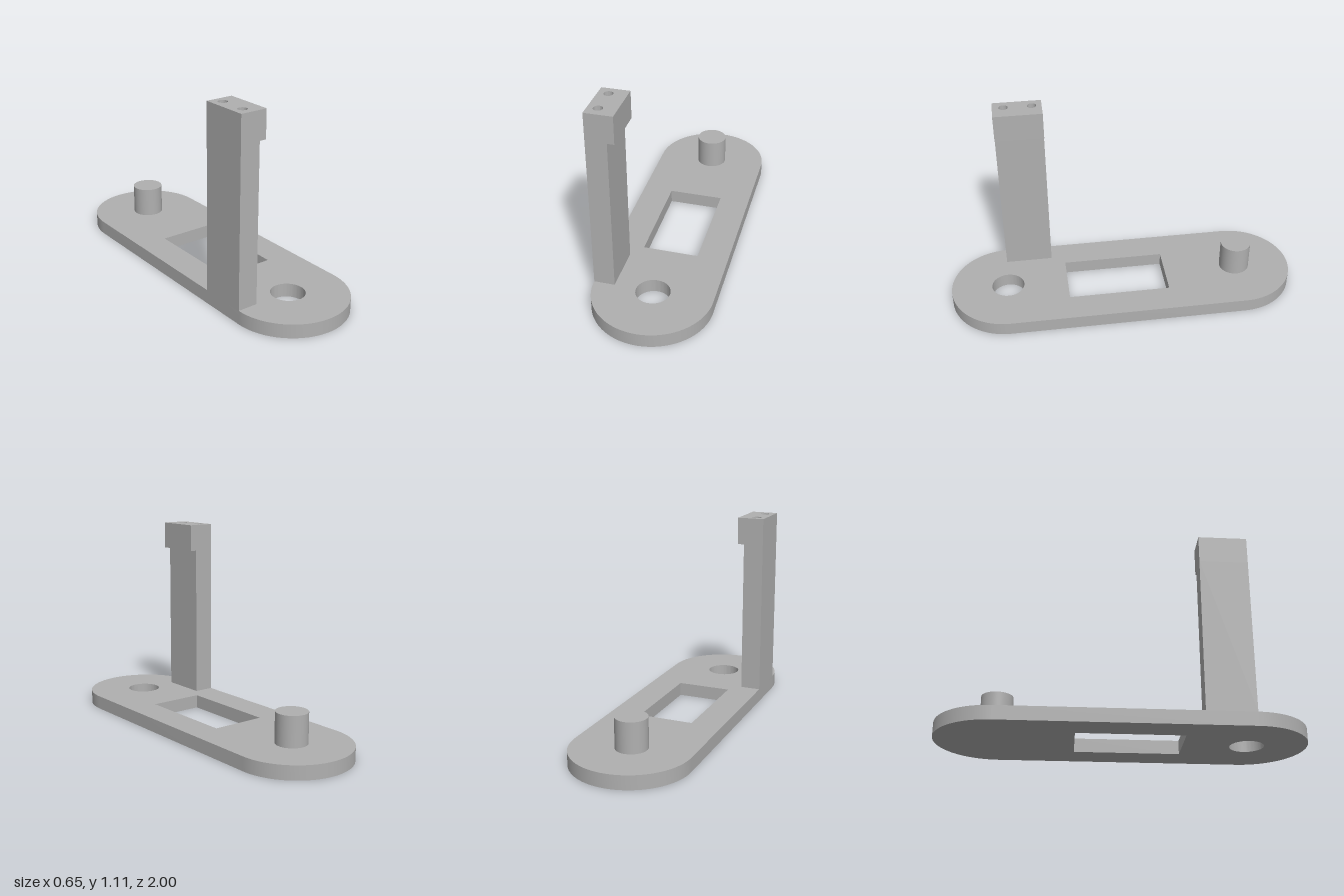
import * as THREE from 'three';
import { toCreasedNormals } from 'three/addons/utils/BufferGeometryUtils.js';

const R = 0.326, END = 0.674;          // plate end radius and centre
const BASE_TOP = 0.077, HEAD_Y = 0.953, TOP = 1.107;
const POST = { x0: -R, x1: -0.212, z0: 0.405, z1: 0.674 };

// Plan outlines are drawn in (x, -z) and extruded upwards
function rect(target, x0, x1, z0, z1) {
  target.moveTo(x0, -z1);
  target.lineTo(x1, -z1);
  target.lineTo(x1, -z0);
  target.lineTo(x0, -z0);
  target.closePath();
  return target;
}

function roundHole(x, z, r) {
  return new THREE.Path().absarc(x, -z, r, 0, Math.PI * 2, true);
}

function extrudeUp(shape, y0, y1) {
  const g = new THREE.ExtrudeGeometry(shape, { depth: y1 - y0, bevelEnabled: false, curveSegments: 40 });
  g.rotateX(-Math.PI / 2);
  g.translate(0, y0, 0);
  return toCreasedNormals(g, Math.PI / 6);
}

export function createModel() {
  const group = new THREE.Group();
  const grey = new THREE.MeshStandardMaterial({ color: 0xb0b0b0 });
  grey.name = 'plain grey';
  const add = (name, geometry) => {
    const mesh = new THREE.Mesh(geometry, grey);
    mesh.name = name;
    group.add(mesh);
    return mesh;
  };

  // Round-ended base plate with a rectangular window and a round socket
  const plate = new THREE.Shape();
  plate.absarc(0, END, R, 0, Math.PI, false);
  plate.absarc(0, -END, R, Math.PI, Math.PI * 2, false);
  plate.closePath();
  plate.holes.push(rect(new THREE.Path(), -0.155, 0.155, -0.253, 0.327), roundHole(0, END, 0.093));
  add('basePlate', extrudeUp(plate, 0, BASE_TOP));

  // Peg at the back end
  const pegHeight = 0.247 - BASE_TOP;
  add('peg', new THREE.CylinderGeometry(0.087, 0.087, pegHeight, 64))
    .position.set(0, BASE_TOP + pegHeight / 2, -END);

  // Upright post on the plate edge
  add('post', extrudeUp(rect(new THREE.Shape(), POST.x0, POST.x1, POST.z0, POST.z1), BASE_TOP, HEAD_Y));

  // Overhanging head with two screw holes that end at the post
  const head = rect(new THREE.Shape(), POST.x0, -0.174, POST.z0, POST.z1);
  for (const z of [0.46, 0.613]) head.holes.push(roundHole(-0.27, z, 0.025));
  add('postHead', extrudeUp(head, HEAD_Y, TOP));

  return group;
}
